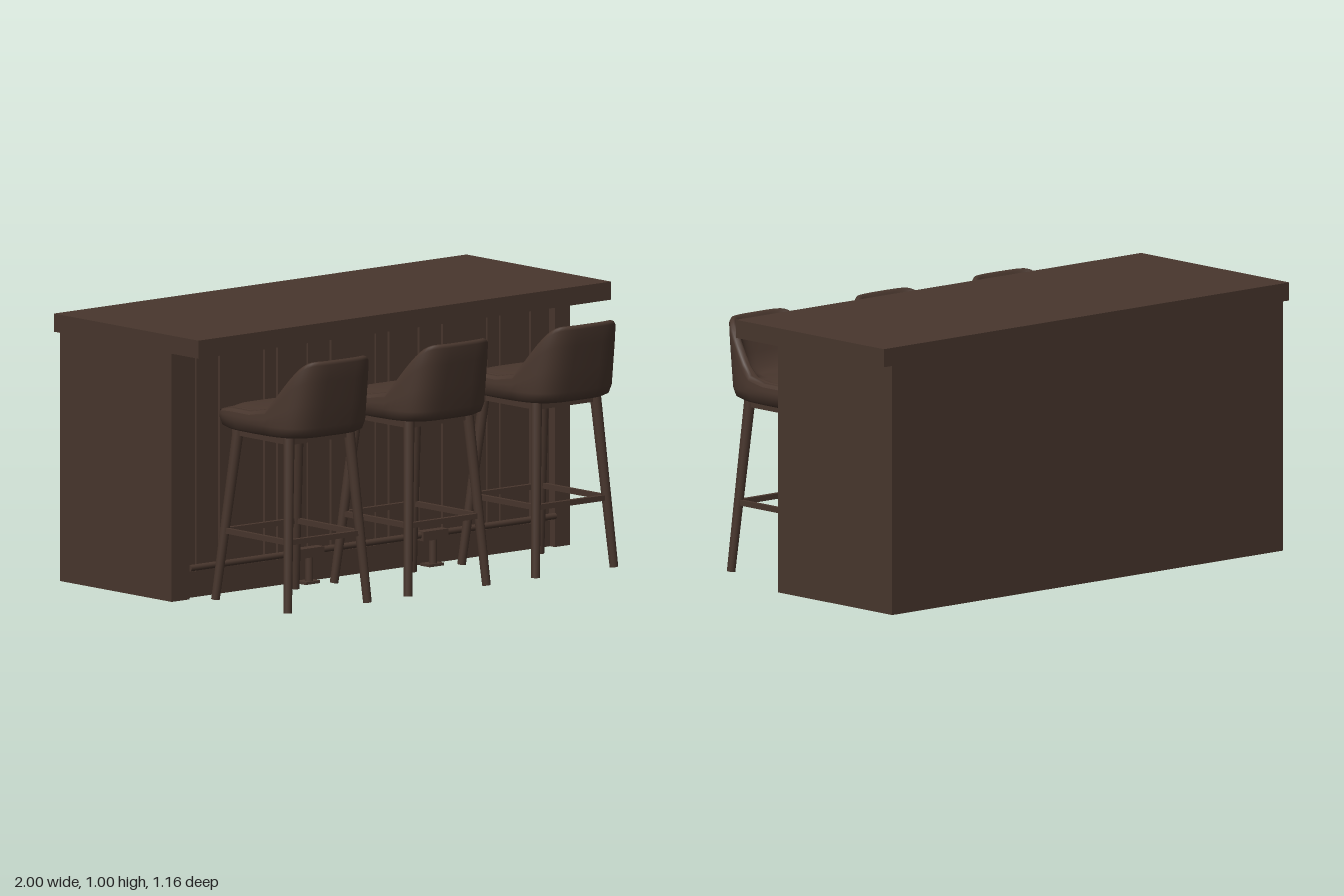
import * as THREE from 'three';

const wood = new THREE.MeshStandardMaterial({ color: 0x48362d });
wood.name = 'dark walnut';

function add(parent, geometry, name) {
  const mesh = new THREE.Mesh(geometry, wood);
  mesh.name = name;
  parent.add(mesh);
  return mesh;
}

// box given by its minimum and maximum on each axis
function box(parent, name, x0, x1, y0, y1, z0, z1) {
  const mesh = add(parent, new THREE.BoxGeometry(x1 - x0, y1 - y0, z1 - z0), name);
  mesh.position.set((x0 + x1) / 2, (y0 + y1) / 2, (z0 + z1) / 2);
  return mesh;
}

// tapered round bar from point a to point b
function bar(parent, name, a, b, ra, rb = ra) {
  const from = new THREE.Vector3(...a), to = new THREE.Vector3(...b);
  const dir = to.clone().sub(from);
  const mesh = add(parent, new THREE.CylinderGeometry(rb, ra, dir.length(), 12), name);
  mesh.position.copy(from).add(to).multiplyScalar(0.5);
  mesh.quaternion.setFromUnitVectors(new THREE.Vector3(0, 1, 0), dir.normalize());
  return mesh;
}

// upholstered bucket seat: rounded-square rings running from the underside, over the rim, to the cushion
function seatGeometry() {
  const segments = 56;
  const { lerp, smoothstep } = THREE.MathUtils;
  const round = (t) => Math.sign(t) * Math.sqrt(Math.abs(t));
  // [scale, height as a function of the rim height]
  const rings = [
    [0, () => 0.64], [0.5, () => 0.64], [0.88, () => 0.64], [0.96, () => 0.65], [1, () => 0.68],
    [1, (r) => lerp(0.68, r, 0.35)], [1, (r) => lerp(0.68, r, 0.7)], [0.995, (r) => r - 0.014],
    [0.97, (r) => r - 0.003], [0.93, (r) => r], [0.88, (r) => r - 0.008],
    [0.84, (r) => lerp(0.722, r, 0.7)], [0.8, (r) => lerp(0.722, r, 0.35)],
    [0.74, (r) => lerp(0.724, r, 0.08)], [0.6, () => 0.728], [0.3, () => 0.73], [0, () => 0.73],
  ];
  const positions = [], indices = [];
  rings.forEach(([s, height], i) => {
    for (let j = 0; j < segments; j++) {
      const a = (j / segments) * Math.PI * 2;
      const c = round(Math.cos(a)), v = round(Math.sin(a));
      const rim = 0.725 - 0.02 * smoothstep(-v, 0.4, 1) + 0.205 * smoothstep(v, 0.2, 0.97);
      const y = height(rim);
      const lean = Math.max(0, (y - 0.68) / 0.25);
      const width = (0.215 - 0.012 * smoothstep(v, 0, 1)) * (1 - 0.1 * lean);
      positions.push(s * c * width, y, 0.295 + s * v * 0.243 + 0.045 * lean * smoothstep(v, 0, 0.8));
      if (i < rings.length - 1) {
        const n = (j + 1) % segments, p = i * segments, q = p + segments;
        indices.push(p + j, q + j, p + n, q + j, q + n, p + n);
      }
    }
  });
  const g = new THREE.BufferGeometry();
  g.setAttribute('position', new THREE.Float32BufferAttribute(positions, 3));
  g.setIndex(indices);
  g.computeVertexNormals();
  return g;
}

function makeStool(seat) {
  const stool = new THREE.Group();
  stool.name = 'barStool';
  add(stool, seat, 'seat');
  // frame under the seat
  for (const s of [-1, 1]) box(stool, 'seatSideRail', s * 0.14 - 0.012, s * 0.14 + 0.012, 0.612, 0.642, 0.13, 0.44);
  box(stool, 'seatBackRail', -0.14, 0.14, 0.612, 0.642, 0.425, 0.449);
  box(stool, 'seatFrontRail', -0.14, 0.14, 0.615, 0.645, 0.12, 0.15);
  // splayed legs and footrest ring
  const legs = [[0.44, 0.49], [0.155, 0.08]];
  const k = (0.645 - 0.257) / 0.645;
  for (const [zt, zb] of legs) {
    for (const s of [-1, 1]) bar(stool, 'leg', [s * 0.19, 0, zb], [s * 0.142, 0.645, zt], 0.016, 0.021);
    const x = 0.142 + 0.048 * k, z = zt + (zb - zt) * k;
    box(stool, 'footrestBar', -x, x, 0.247, 0.267, z - 0.009, z + 0.009);
  }
  for (const s of [-1, 1]) box(stool, 'footrestSide', s * 0.171 - 0.008, s * 0.171 + 0.008, 0.247, 0.267, 0.11, 0.47);
  return stool;
}

export function createModel() {
  const model = new THREE.Group();
  model.name = 'barCounterWithStools';

  // counter
  const counter = new THREE.Group();
  counter.name = 'counter';
  model.add(counter);
  box(counter, 'worktop', -1, 1, 0.93, 0.997, -0.582, 0.22);
  box(counter, 'cabinet', -0.972, 0.957, 0.005, 0.93, -0.58, 0.006);
  box(counter, 'endPost', -0.972, -0.885, 0.005, 0.93, 0.006, 0.04);
  box(counter, 'endPost', 0.885, 0.957, 0.005, 0.93, 0.006, 0.04);
  box(counter, 'kickboard', -0.885, 0.885, 0.005, 0.1, 0.006, 0.014);

  // vertical planks on the front, in uneven widths
  const widths = [0.05, 0.11, 0.08, 0.14, 0.06, 0.1];
  for (let x = -0.88, i = 0; x < 0.86; i++) {
    const end = Math.min(x + widths[i % widths.length], 0.88);
    box(counter, 'frontPlank', x, end - 0.006, 0.1, 0.93, 0.006, 0.012 + 0.004 * (i % 3));
    x = end;
  }

  // foot rail and its brackets
  bar(counter, 'footRail', [-0.885, 0.12, 0.04], [0.885, 0.12, 0.04], 0.012);
  for (const x of [-0.31, 0.29]) {
    box(counter, 'railClamp', x - 0.06, x + 0.06, 0.1, 0.135, 0.022, 0.062);
    bar(counter, 'railPost', [x, 0.004, 0.045], [x, 0.11, 0.045], 0.015);
    box(counter, 'railFoot', x - 0.035, x + 0.035, 0.002, 0.012, 0.014, 0.066);
  }

  // three stools
  const seat = seatGeometry();
  for (const [x, turn] of [[-0.6, -0.02], [-0.03, 0], [0.588, 0]]) {
    const stool = makeStool(seat);
    stool.position.x = x;
    stool.rotation.y = turn;
    model.add(stool);
  }
  return model;
}
